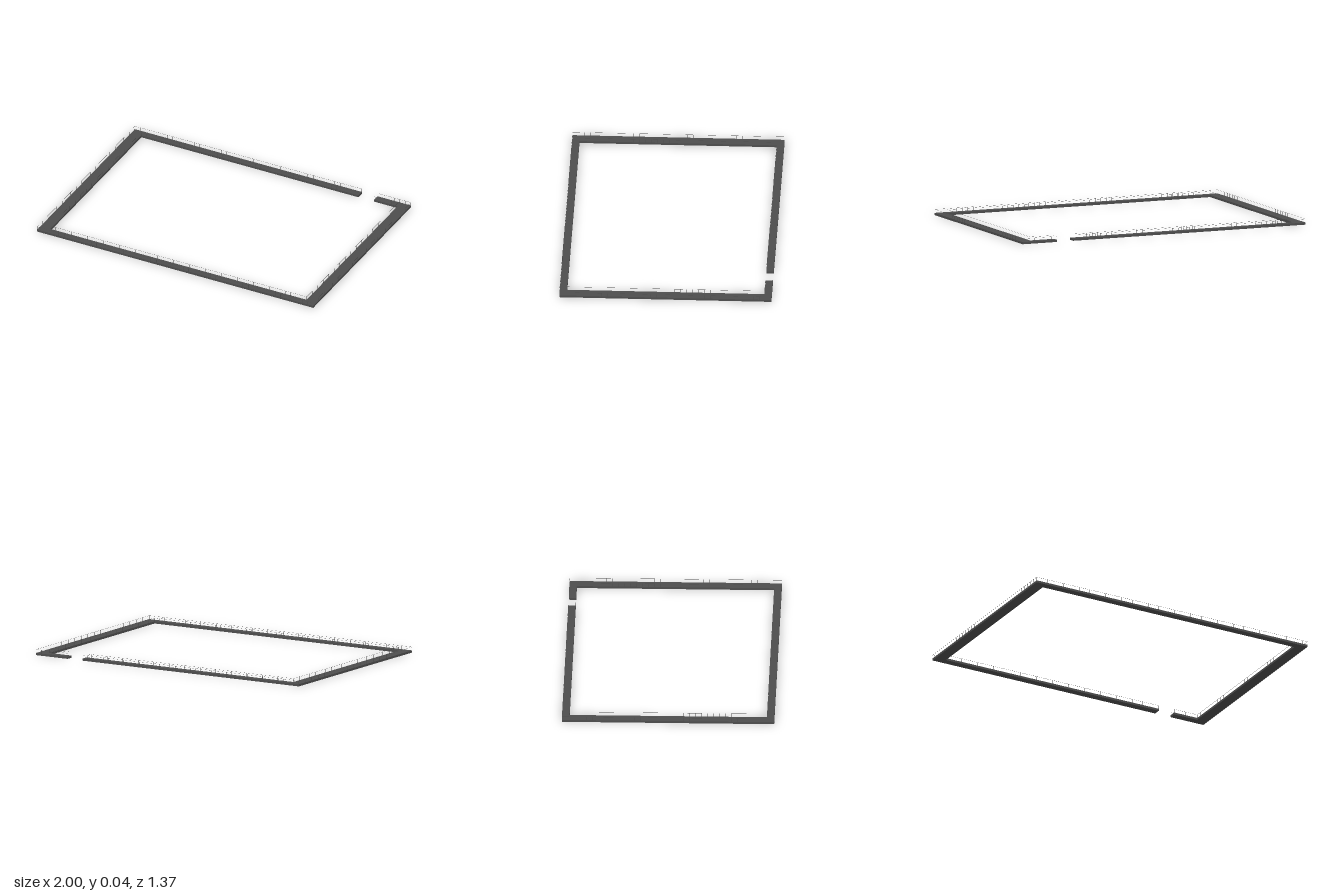
import * as THREE from 'three';
import { mergeGeometries } from 'three/addons/utils/BufferGeometryUtils.js';

const HX = 1, HZ = 0.683;          // outer half extents
const SIDE_W = 0.072, END_W = 0.048; // curb widths
const CURB_H = 0.014, TOP = 0.037;
const GAP = [0.645, 0.758];        // opening in the back run
const BAR = 0.0008, STEP = 0.039;  // railing bar thickness and post spacing

const material = new THREE.MeshStandardMaterial({ color: 0x4d4d4d });

function box(x0, x1, y0, y1, z0, z1) {
  return new THREE.BoxGeometry(x1 - x0, y1 - y0, z1 - z0)
    .translate((x0 + x1) / 2, (y0 + y1) / 2, (z0 + z1) / 2);
}

function addMesh(group, name, geometry) {
  const mesh = new THREE.Mesh(geometry, material);
  mesh.name = name;
  group.add(mesh);
}

// Straight railing from a to b: evenly spaced posts under one top rail
function railing(ax, az, bx, bz) {
  const h = BAR / 2;
  const parts = [box(Math.min(ax, bx) - h, Math.max(ax, bx) + h, TOP - BAR, TOP,
    Math.min(az, bz) - h, Math.max(az, bz) + h)];
  const count = Math.max(1, Math.round(Math.hypot(bx - ax, bz - az) / STEP));
  for (let i = 0; i <= count; i++) {
    const x = ax + (bx - ax) * i / count, z = az + (bz - az) * i / count;
    parts.push(box(x - h, x + h, CURB_H, TOP - BAR, z - h, z + h));
  }
  return mergeGeometries(parts);
}

export function createModel() {
  const model = new THREE.Group();
  model.name = 'railedCurb';
  const ix = HX - SIDE_W, iz = HZ - END_W;

  // Curb runs, with the opening at the back
  addMesh(model, 'leftCurb', box(ix, HX, 0, CURB_H, -HZ, HZ));
  addMesh(model, 'rightCurb', box(-HX, -ix, 0, CURB_H, -HZ, HZ));
  addMesh(model, 'frontCurb', box(-ix, ix, 0, CURB_H, iz, HZ));
  addMesh(model, 'backCurbLong', box(-ix, GAP[0], 0, CURB_H, -HZ, -iz));
  addMesh(model, 'backCurbShort', box(GAP[1], ix, 0, CURB_H, -HZ, -iz));

  // Railings along the outer and inner edges of the curb
  const e = BAR / 2;
  for (const [label, x, z] of [['outer', HX - e, HZ - e], ['inner', ix + e, iz + e]]) {
    addMesh(model, label + 'LeftRailing', railing(x, -z, x, z));
    addMesh(model, label + 'RightRailing', railing(-x, -z, -x, z));
    addMesh(model, label + 'FrontRailing', railing(-x, z, x, z));
    addMesh(model, label + 'BackRailingLong', railing(-x, -z, GAP[0] - e, -z));
    addMesh(model, label + 'BackRailingShort', railing(GAP[1] + e, -z, x, -z));
  }
  return model;
}
